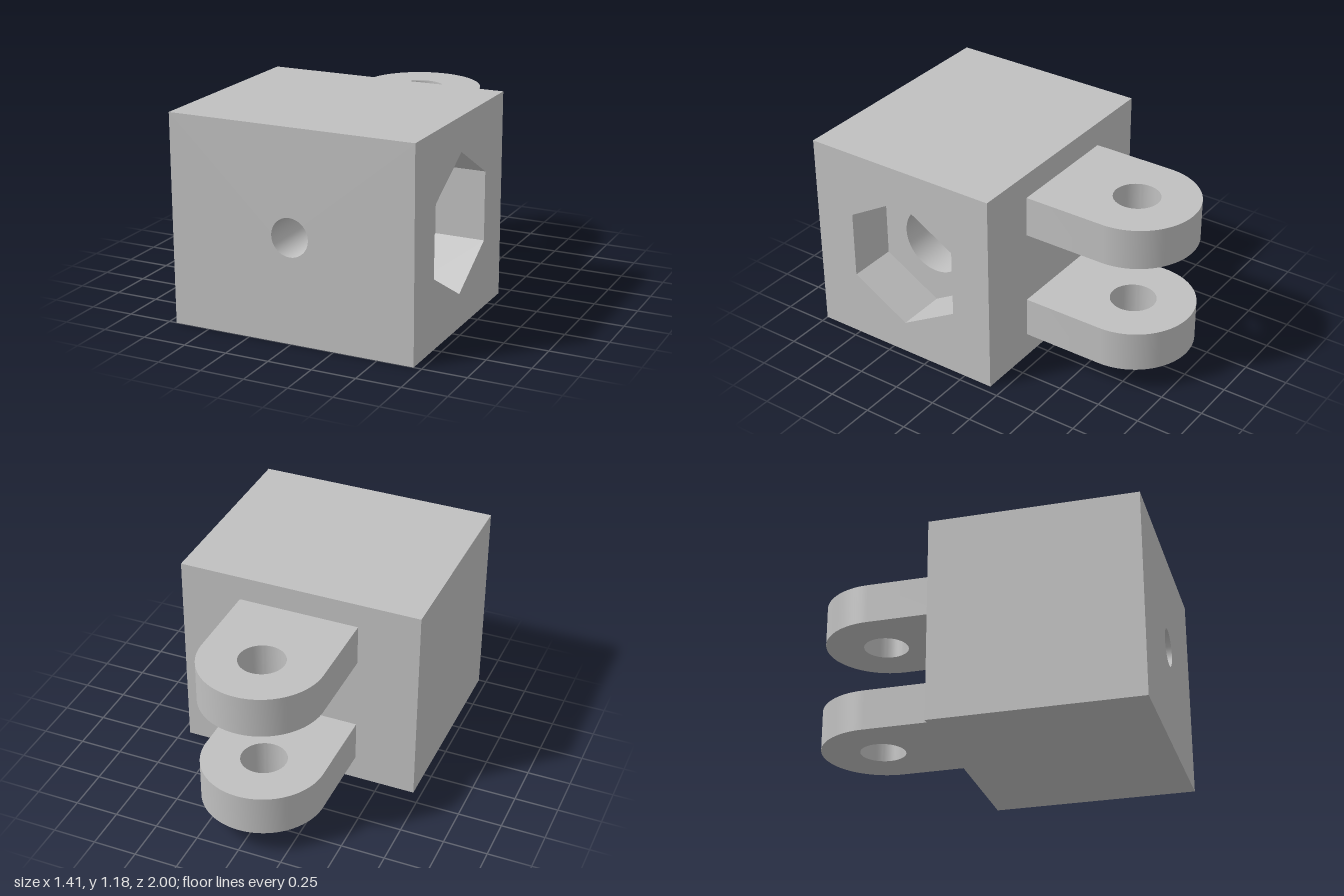
import * as THREE from 'three';
import { mergeGeometries, toCreasedNormals } from 'three/addons/utils/BufferGeometryUtils.js';

const HW = 0.705, H = 1.18, FRONT = 1, BACK = -0.175;   // block extents
const MID_Y = 0.59, POCKET_Z = 0.41;                    // hole centres
const HEX_R = 0.395, HEX_FLOOR = 0.415, BORE_R = 0.2, BORE_END = 0.15;
const PIN_R = 0.107, PIN_END = 0.41;

const circle = (x, y, r) => new THREE.Path().absarc(x, y, r, 0, Math.PI * 2, true);

function hexPoints(x, y, r) {
  return Array.from({ length: 6 }, (_, i) => {
    const a = Math.PI / 6 + i * Math.PI / 3;
    return new THREE.Vector2(x + r * Math.cos(a), y + r * Math.sin(a));
  });
}

function rect(x0, y0, x1, y1, hole) {
  const s = new THREE.Shape();
  s.moveTo(x0, y0).lineTo(x1, y0).lineTo(x1, y1).lineTo(x0, y1).closePath();
  if (hole) s.holes.push(hole);
  return s;
}

const flat = (shape) => new THREE.ShapeGeometry(shape, 32).toNonIndexed();

// Shape drawn with (-z, y) coordinates, placed facing +x at the given x
const sideFace = (shape, x) => flat(shape).rotateY(Math.PI / 2).translate(x, 0, 0);

// Open wall of a round or hexagonal hole, along y before it is turned
const wall = (r, length, sides, start = 0) =>
  new THREE.CylinderGeometry(r, r, length, sides, 1, true, start).toNonIndexed();

function blockGeometry() {
  const hex = hexPoints(-POCKET_Z, MID_Y, HEX_R);
  const midZ = (FRONT + BACK) / 2, depth = FRONT - BACK;

  // Outer faces
  const faces = [
    flat(rect(-HW, 0, HW, H, circle(0, MID_Y, PIN_R))).translate(0, 0, FRONT),
    flat(rect(-HW, 0, HW, H)).rotateY(Math.PI).translate(0, 0, BACK),
    sideFace(rect(-FRONT, 0, -BACK, H, new THREE.Path(hex)), HW),
    flat(rect(BACK, 0, FRONT, H)).rotateY(-Math.PI / 2).translate(-HW, 0, 0),
    new THREE.PlaneGeometry(2 * HW, depth).toNonIndexed().rotateX(-Math.PI / 2).translate(0, H, midZ),
    new THREE.PlaneGeometry(2 * HW, depth).toNonIndexed().rotateX(Math.PI / 2).translate(0, 0, midZ),
  ];

  // Hexagonal pocket and the round bore in its floor
  const hexWall = wall(HEX_R, HW - HEX_FLOOR, 6, Math.PI / 2);
  hexWall.computeVertexNormals();
  const hexFloor = new THREE.Shape(hex);
  hexFloor.holes.push(circle(-POCKET_Z, MID_Y, BORE_R));
  faces.push(
    hexWall.rotateZ(Math.PI / 2).translate((HW + HEX_FLOOR) / 2, MID_Y, POCKET_Z),
    sideFace(hexFloor, HEX_FLOOR),
    wall(BORE_R, HEX_FLOOR - BORE_END, 64).rotateZ(Math.PI / 2)
      .translate((HEX_FLOOR + BORE_END) / 2, MID_Y, POCKET_Z),
    new THREE.CircleGeometry(BORE_R, 64).toNonIndexed().rotateY(Math.PI / 2)
      .translate(BORE_END, MID_Y, POCKET_Z),
  );

  // Blind hole in the front
  faces.push(
    wall(PIN_R, FRONT - PIN_END, 64).rotateX(Math.PI / 2).translate(0, MID_Y, (FRONT + PIN_END) / 2),
    new THREE.CircleGeometry(PIN_R, 64).toNonIndexed().translate(0, MID_Y, PIN_END),
  );
  return mergeGeometries(faces);
}

// Rounded hinge lug with a pin hole
function lugGeometry(height) {
  const r = 0.35, cz = 0.65;
  const s = new THREE.Shape();
  s.moveTo(-r, -BACK).lineTo(r, -BACK).lineTo(r, cz);
  s.absarc(0, cz, r, 0, Math.PI, false);
  s.closePath();
  s.holes.push(circle(0, cz, 0.13));
  const g = new THREE.ExtrudeGeometry(s, { depth: height, bevelEnabled: false, curveSegments: 40 });
  return toCreasedNormals(g.rotateX(-Math.PI / 2), 0.5);
}

export function createModel() {
  const grey = new THREE.MeshStandardMaterial({ color: 0xc0c0c0, side: THREE.DoubleSide });
  grey.name = 'grey';
  const model = new THREE.Group();
  model.name = 'hingeBlock';

  const block = new THREE.Mesh(blockGeometry(), grey);
  block.name = 'block';
  model.add(block);

  for (const [name, y] of [['lowerLug', 0.145], ['upperLug', 0.802]]) {
    const lug = new THREE.Mesh(lugGeometry(0.235), grey);
    lug.name = name;
    lug.position.y = y;
    model.add(lug);
  }
  return model;
}
